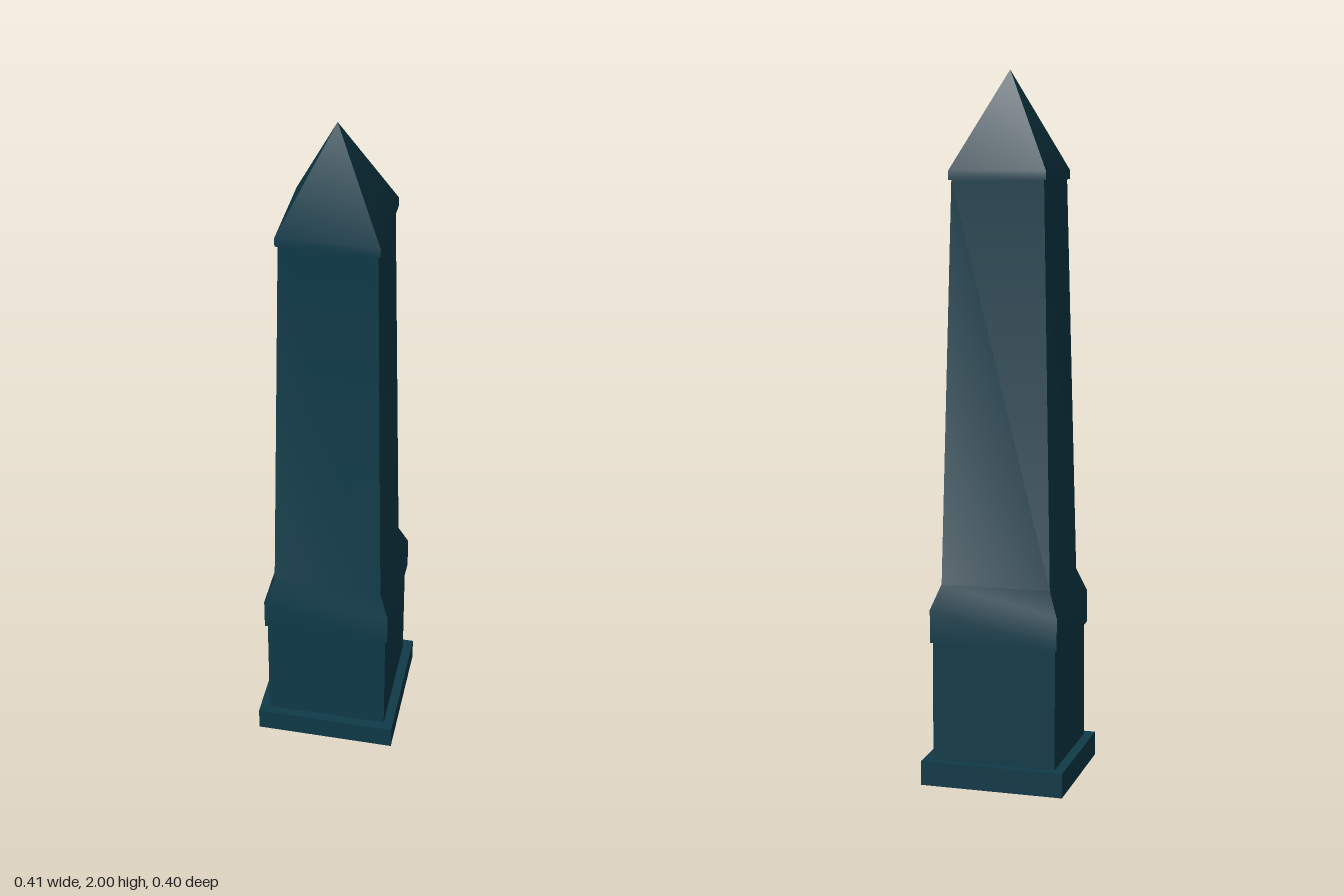
import * as THREE from 'three';
import { toCreasedNormals } from 'three/addons/utils/BufferGeometryUtils.js';

const DEPTH_RATIO = 0.965; // slightly shallower than wide

// Four-sided solid from a profile of [half width, height], bottom to top
function squareLathe(profile) {
  const points = profile.map(([w, y]) => new THREE.Vector2(w * Math.SQRT2, y));
  const geometry = new THREE.LatheGeometry(points, 4, Math.PI / 4);
  geometry.scale(1, 1, DEPTH_RATIO);
  return toCreasedNormals(geometry, 0.6);
}

export function createModel() {
  const group = new THREE.Group();
  group.name = 'obelisk';
  const stone = new THREE.MeshStandardMaterial({ color: 0x0f3a48 });
  stone.name = 'dark teal stone';

  const parts = {
    // Wide slab on the ground
    base: [[0, 0], [0.206, 0], [0.206, 0.07], [0, 0.07]],
    // Plain block under the collar
    plinth: [[0.178, 0.07], [0.177, 0.41]],
    // Overhanging collar, sloped shoulder and tapering shaft
    collarAndShaft: [[0.17, 0.41], [0.184, 0.41], [0.184, 0.505], [0.157, 0.575], [0.131, 1.7]],
    // Pointed cap with a narrow lip
    cap: [[0.12, 1.7], [0.138, 1.7], [0.138, 1.725], [0, 2]],
  };

  for (const [name, profile] of Object.entries(parts)) {
    const mesh = new THREE.Mesh(squareLathe(profile), stone);
    mesh.name = name;
    group.add(mesh);
  }
  return group;
}
